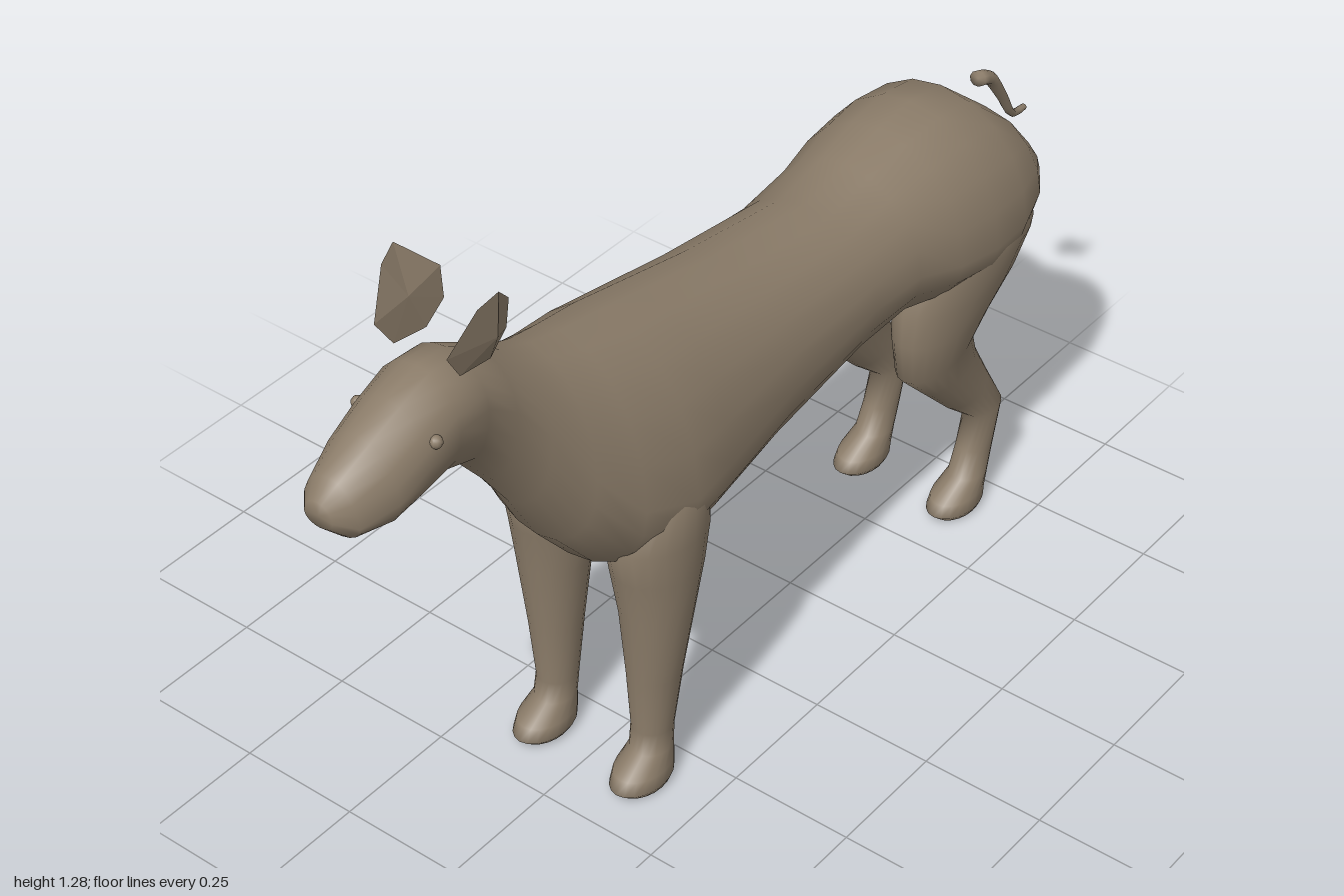
import * as THREE from 'three';

const SIDES = 20;

// Skin a row of rings (arrays of Vector3) and close both ends with a centre point.
function loft(rings, capShift = 0) {
  const n = rings[0].length, pos = [], idx = [];
  rings.forEach(r => r.forEach(p => pos.push(p.x, p.y, p.z)));
  for (let i = 0; i < rings.length - 1; i++) {
    for (let j = 0; j < n; j++) {
      const a = i * n + j, b = i * n + (j + 1) % n;
      idx.push(a, a + n, b, b, a + n, b + n);
    }
  }
  [0, rings.length - 1].forEach((r, end) => {
    const c = new THREE.Vector3();
    rings[r].forEach(p => c.addScaledVector(p, 1 / n));
    const k = pos.length / 3;
    pos.push(c.x, c.y, c.z + (end ? capShift : 0));
    for (let j = 0; j < n; j++) {
      const a = r * n + j, b = r * n + (j + 1) % n;
      if (end) idx.push(k, b, a); else idx.push(k, a, b);
    }
  });
  const g = new THREE.BufferGeometry();
  g.setAttribute('position', new THREE.Float32BufferAttribute(pos, 3));
  g.setIndex(idx);
  g.computeVertexNormals();
  return g;
}

const angles = Array.from({ length: SIDES }, (_, j) => j / SIDES * Math.PI * 2);

// Upright torso section: lowest, widest and highest y, with half width w.
function bodyRing([z, low, mid, high, w]) {
  return angles.map(a => {
    const s = Math.sin(a), x = w * Math.cos(a);
    const y = mid + s * (s > 0 ? high - mid : mid - low);
    // cleft between the haunches
    const cleft = z < -0.75 ? 0.035 * Math.max(0, 1 - Math.abs(x) / 0.09) : 0;
    return new THREE.Vector3(x, y, z + cleft);
  });
}

// Level leg section: front and back z, inner and outer x, tilted by dy along z.
function legRing([y, zf, zb, xi, xo, tilt = 0], side) {
  return angles.map(a => {
    const s = -Math.sin(a);
    return new THREE.Vector3(
      side * (xi + xo) / 2 + (xo - xi) / 2 * Math.cos(a),
      y + tilt * s,
      (zf + zb) / 2 + (zf - zb) / 2 * s);
  });
}

// z, low, mid, high, half width, from nose to rump
const BODY = [
  [1.0, 0.965, 0.985, 1.015, 0.03],
  [0.97, 0.935, 0.97, 1.045, 0.06],
  [0.9, 0.92, 0.985, 1.085, 0.082],
  [0.83, 0.925, 1.02, 1.115, 0.088],
  [0.76, 0.932, 1.05, 1.14, 0.09],
  [0.69, 0.905, 1.05, 1.135, 0.088],
  [0.62, 0.82, 1.0, 1.095, 0.085],
  [0.56, 0.735, 0.92, 1.052, 0.105],
  [0.49, 0.615, 0.8, 1.025, 0.14],
  [0.41, 0.52, 0.7, 1.005, 0.18],
  [0.3, 0.49, 0.67, 0.985, 0.205],
  [0.2, 0.495, 0.68, 0.965, 0.198],
  [0, 0.53, 0.71, 0.925, 0.182],
  [-0.27, 0.57, 0.73, 0.887, 0.17],
  [-0.4, 0.585, 0.73, 0.91, 0.175],
  [-0.5, 0.575, 0.71, 0.935, 0.2],
  [-0.6, 0.57, 0.7, 0.945, 0.212],
  [-0.7, 0.58, 0.7, 0.93, 0.208],
  [-0.78, 0.615, 0.72, 0.88, 0.185],
  [-0.83, 0.65, 0.735, 0.815, 0.15],
  [-0.853, 0.69, 0.74, 0.775, 0.11],
];

// y, front z, back z, inner x, outer x, tilt
const FRONT_LEG = [
  [0.7, 0.38, 0.22, 0.06, 0.2],
  [0.58, 0.415, 0.2, 0.03, 0.203],
  [0.5, 0.4, 0.215, 0.035, 0.197],
  [0.4, 0.385, 0.24, 0.05, 0.187],
  [0.25, 0.372, 0.262, 0.064, 0.166],
  [0.12, 0.363, 0.28, 0.073, 0.152],
  [0.075, 0.372, 0.283, 0.075, 0.153],
  [0.045, 0.42, 0.283, 0.067, 0.163],
  [0.018, 0.432, 0.285, 0.066, 0.165],
  [0.003, 0.415, 0.292, 0.075, 0.158],
];

const HIND_LEG = [
  [0.74, -0.5, -0.8, 0.03, 0.2],
  [0.66, -0.46, -0.825, 0.025, 0.205],
  [0.59, -0.437, -0.78, 0.03, 0.196],
  [0.52, -0.437, -0.7, 0.042, 0.183],
  [0.45, -0.45, -0.647, 0.055, 0.17, -0.02],
  [0.38, -0.52, -0.672, 0.066, 0.158, -0.02],
  [0.29, -0.61, -0.724, 0.076, 0.15, -0.02],
  [0.21, -0.69, -0.777, 0.079, 0.148, -0.008],
  [0.12, -0.668, -0.75, 0.08, 0.148, 0.01],
  [0.07, -0.645, -0.735, 0.078, 0.152],
  [0.042, -0.585, -0.727, 0.07, 0.16],
  [0.018, -0.573, -0.722, 0.068, 0.163],
  [0.003, -0.59, -0.715, 0.076, 0.156],
];

// Leaf-shaped ear: a rim joined to an outer bulge and a shallower inner cup.
function earGeometry(side) {
  const rim = [
    [0.068, 1.125, 0.66], [0.066, 1.16, 0.617], [0.072, 1.22, 0.615], [0.11, 1.285, 0.68],
    [0.1, 1.268, 0.72], [0.076, 1.19, 0.77], [0.07, 1.135, 0.735],
  ];
  const pts = [...rim, [0.1, 1.19, 0.675], [0.074, 1.2, 0.69]];
  const tris = [];
  rim.forEach((p, i) => {
    const q = (i + 1) % rim.length;
    tris.push(7, q, i, 8, i, q);
  });
  const pos = tris.flatMap(i => [side * pts[i][0], pts[i][1], pts[i][2]]);
  const g = new THREE.BufferGeometry();
  g.setAttribute('position', new THREE.Float32BufferAttribute(pos, 3));
  g.computeVertexNormals();
  return g;
}

// Thin tail, swept along its curve and narrowing to the tip.
function tailGeometry() {
  const curve = new THREE.CatmullRomCurve3([
    [0.88, -0.828], [0.865, -0.865], [0.8, -0.915], [0.735, -0.96], [0.73, -1.0],
  ].map(([y, z]) => new THREE.Vector3(0, y, z)));
  const rings = [];
  for (let i = 0; i <= 12; i++) {
    const t = i / 12, c = curve.getPointAt(t), d = curve.getTangentAt(t);
    const up = new THREE.Vector3(0, -d.z, d.y), r = 0.018 - 0.011 * t;
    rings.push(angles.filter((_, j) => j % 2 === 0).map(a => c.clone()
      .addScaledVector(up, r * 0.85 * Math.sin(a))
      .add(new THREE.Vector3(r * Math.cos(a), 0, 0))));
  }
  return loft(rings);
}

export function createModel() {
  const model = new THREE.Group();
  const hide = new THREE.MeshStandardMaterial({ color: 0x8b7c69, side: THREE.DoubleSide });
  hide.name = 'brown hide';
  const add = (name, geometry) => {
    const mesh = new THREE.Mesh(geometry, hide);
    mesh.name = name;
    model.add(mesh);
    return mesh;
  };

  add('bodyAndHead', loft(BODY.map(bodyRing), 0.03));
  add('tail', tailGeometry());

  // Paired parts
  for (const [label, side] of [['left', 1], ['right', -1]]) {
    add(label + 'FrontLeg', loft(FRONT_LEG.map(r => legRing(r, side))));
    add(label + 'HindLeg', loft(HIND_LEG.map(r => legRing(r, side))));
    add(label + 'Ear', earGeometry(side));
    const eye = add(label + 'Eye', new THREE.SphereGeometry(0.012, 10, 8));
    eye.position.set(side * 0.083, 1.058, 0.812);
  }
  return model;
}
